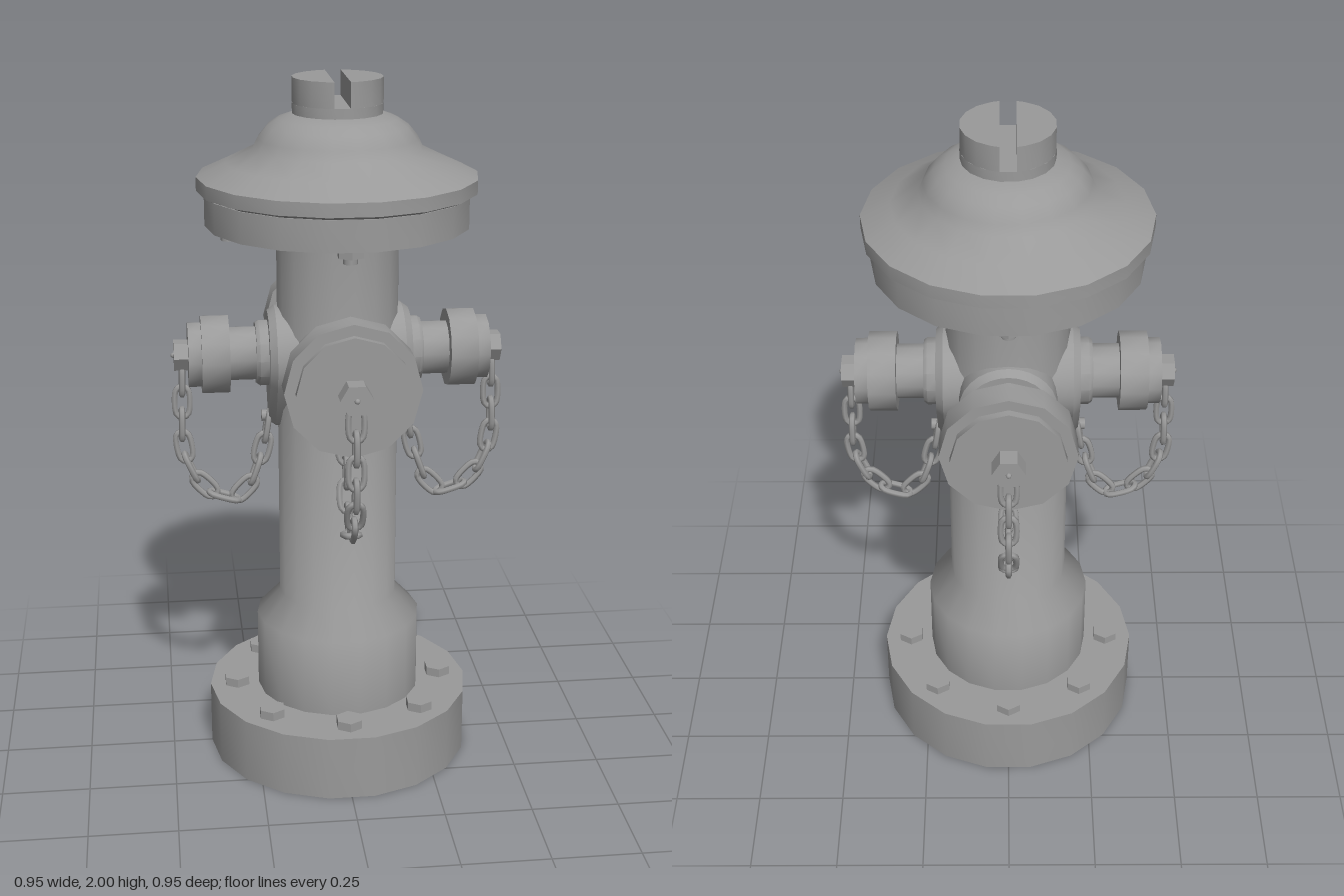
import * as THREE from 'three';
import { toCreasedNormals } from 'three/addons/utils/BufferGeometryUtils.js';

const grey = new THREE.MeshStandardMaterial({ color: 0x9a9a9a });
const greyOpen = new THREE.MeshStandardMaterial({ color: 0x9a9a9a, side: THREE.DoubleSide });
const AXIS_Y = 1.228; // height of the outlets

function add(parent, name, geometry, material = grey) {
  const mesh = new THREE.Mesh(geometry, material);
  mesh.name = name;
  parent.add(mesh);
  return mesh;
}

// Turned part from [radius, height] pairs, listed from bottom to top
function turned(profile, sides, crease = 0.6) {
  const pts = profile.map(([r, y]) => new THREE.Vector2(r, y));
  return toCreasedNormals(new THREE.LatheGeometry(pts, sides, Math.PI / 2), crease);
}

function hex(radius, height) {
  return toCreasedNormals(new THREE.CylinderGeometry(radius, radius, height, 6), 0.6);
}

// One half of the slotted top stem
function stemHalf() {
  const shape = new THREE.Shape([new THREE.Vector2(0.022, -0.123)]
    .concat(Array.from({ length: 8 }, (_, i) => {
      const a = THREE.MathUtils.degToRad(-70 + i * 20);
      return new THREE.Vector2(0.125 * Math.cos(a), 0.125 * Math.sin(a));
    }), [new THREE.Vector2(0.022, 0.123)]));
  const g = new THREE.ExtrudeGeometry(shape, { depth: 0.07, bevelEnabled: false });
  return toCreasedNormals(g.rotateX(-Math.PI / 2), 0.6);
}

// Teardrop plate that joins an outlet to the barrel, narrowing outwards
function mountGeometry() {
  const R = 0.135, r = 0.035, drop = 0.182;
  const a = Math.asin((R - r) / drop);
  const shape = new THREE.Shape();
  shape.absarc(0, 0, R, -a, Math.PI + a, false);
  shape.absarc(0, -drop, r, Math.PI + a, 2 * Math.PI - a, false);
  const g = new THREE.ExtrudeGeometry(shape, {
    depth: 0.08, curveSegments: 10, bevelSegments: 1,
    bevelThickness: 0.02, bevelSize: 0.015, bevelOffset: -0.015,
  });
  return toCreasedNormals(g.translate(0, AXIS_Y, 0.1), 0.6);
}

// Oval chain link, long in y, lying in the yz plane
function linkGeometry() {
  const pts = [[0, 0.046], [0.014, 0.04], [0.02, 0.026], [0.02, -0.026],
    [0.014, -0.04], [0, -0.046], [-0.014, -0.04], [-0.02, -0.026], [-0.02, 0.026], [-0.014, 0.04]]
    .map(([z, y]) => new THREE.Vector3(0, y, z));
  return new THREE.TubeGeometry(new THREE.CatmullRomCurve3(pts, true), 20, 0.009, 6, true);
}

// Chain hanging from the cap nut back to the mount
function chain(link) {
  const group = new THREE.Group();
  group.name = 'chain';
  const path = new THREE.CatmullRomCurve3([[0.443, 1.19], [0.445, 1.09], [0.445, 0.97], [0.42, 0.88],
    [0.365, 0.815], [0.31, 0.795], [0.262, 0.83], [0.228, 0.91], [0.21, 0.98], [0.2, 1.04]]
    .map(([z, y]) => new THREE.Vector3(0, y, z)));
  const count = 11;
  for (let i = 0; i < count; i++) {
    const u = (i + 0.5) / count;
    const t = path.getTangentAt(u);
    const holder = new THREE.Group();
    holder.position.copy(path.getPointAt(u));
    holder.rotation.x = Math.atan2(t.z, t.y);
    add(holder, 'chainLink', link).rotation.y = i % 2 ? 0 : Math.PI / 2;
    group.add(holder);
  }
  return group;
}

// Outlet pointing along +z with neck, cap, nut and chain
function outlet(name, capProfile, nutStart, mount, link) {
  const group = new THREE.Group();
  group.name = name;
  const along = (part, g, z = 0) => {
    const mesh = add(group, part, g);
    mesh.rotation.x = Math.PI / 2;
    mesh.position.set(0, AXIS_Y, z);
    return mesh;
  };
  add(group, 'outletMount', mount);
  along('outletNeck', turned([[0.095, 0.19], [0.095, 0.225], [0.088, 0.235], [0.077, 0.235], [0.077, 0.32]], 12));
  along('outletCap', turned(capProfile, 12));
  const nutLength = 0.465 - nutStart;
  // Hexagon corners point sideways
  along('capNut', hex(0.045, nutLength).rotateY(Math.PI / 2), nutStart + nutLength / 2);
  along('nutPin', new THREE.SphereGeometry(0.008, 8, 6), 0.466);
  along('chainStud', new THREE.CylinderGeometry(0.017, 0.017, 0.03, 8), 0.205).position.y = 1.04;
  group.add(chain(link));
  return group;
}

export function createModel() {
  const model = new THREE.Group();
  model.name = 'hydrant';

  // Open-bottomed base flange, smoothly flared foot and barrel
  add(model, 'barrel', turned([[0.385, 0], [0.385, 0.19], [0.24, 0.19], [0.24, 0.423],
    [0.172, 0.495], [0.172, 1.61]], 18, 1), greyOpen);

  // Upper flange and smoothly domed bonnet
  add(model, 'upperFlange', turned([[0, 1.598], [0.369, 1.598], [0.369, 1.685], [0, 1.685]], 18));
  add(model, 'bonnet', turned([[0, 1.683], [0.36, 1.683], [0.39, 1.695], [0.39, 1.733], [0.31, 1.77],
    [0.235, 1.807], [0.222, 1.835], [0.195, 1.868], [0.165, 1.888], [0.125, 1.902], [0, 1.902]], 18, 1));

  // Stem with a slot running front to back
  const stem = new THREE.Group();
  stem.name = 'slottedStem';
  model.add(stem);
  add(stem, 'stemBase', turned([[0, 1.88], [0.125, 1.88], [0.125, 1.93], [0, 1.93]], 18));
  for (const turn of [0, Math.PI]) {
    const half = add(stem, 'stemHalf', stemHalf());
    half.position.y = 1.93;
    half.rotation.y = turn;
  }

  // Bolts on the base flange
  for (let i = 0; i < 8; i++) {
    const a = i * Math.PI / 4;
    add(model, 'baseBolt', hex(0.04, 0.026)).position.set(0.305 * Math.sin(a), 0.204, 0.305 * Math.cos(a));
  }

  // Nuts and bolt ends under the upper flange
  for (let i = 0; i < 4; i++) {
    const a = i * Math.PI / 2;
    const x = 0.305 * Math.sin(a), z = 0.305 * Math.cos(a);
    add(model, 'flangeNut', hex(0.038, 0.03)).position.set(x, 1.588, z);
    add(model, 'flangeBoltEnd', new THREE.CylinderGeometry(0.02, 0.02, 0.03, 8)).position.set(x, 1.57, z);
  }

  // Large outlets front and back, small outlets at the sides
  const mount = mountGeometry(), link = linkGeometry();
  const largeCap = [[0, 0.31], [0.185, 0.31], [0.185, 0.389], [0.155, 0.389], [0.155, 0.411], [0, 0.411]];
  const smallCap = [[0, 0.31], [0.112, 0.31], [0.112, 0.388], [0.093, 0.388], [0.093, 0.425], [0, 0.425]];
  for (let i = 0; i < 4; i++) {
    const part = i % 2 ? outlet('sideOutlet', smallCap, 0.425, mount, link)
      : outlet('mainOutlet', largeCap, 0.411, mount, link);
    part.rotation.y = i * Math.PI / 2;
    model.add(part);
  }
  return model;
}
